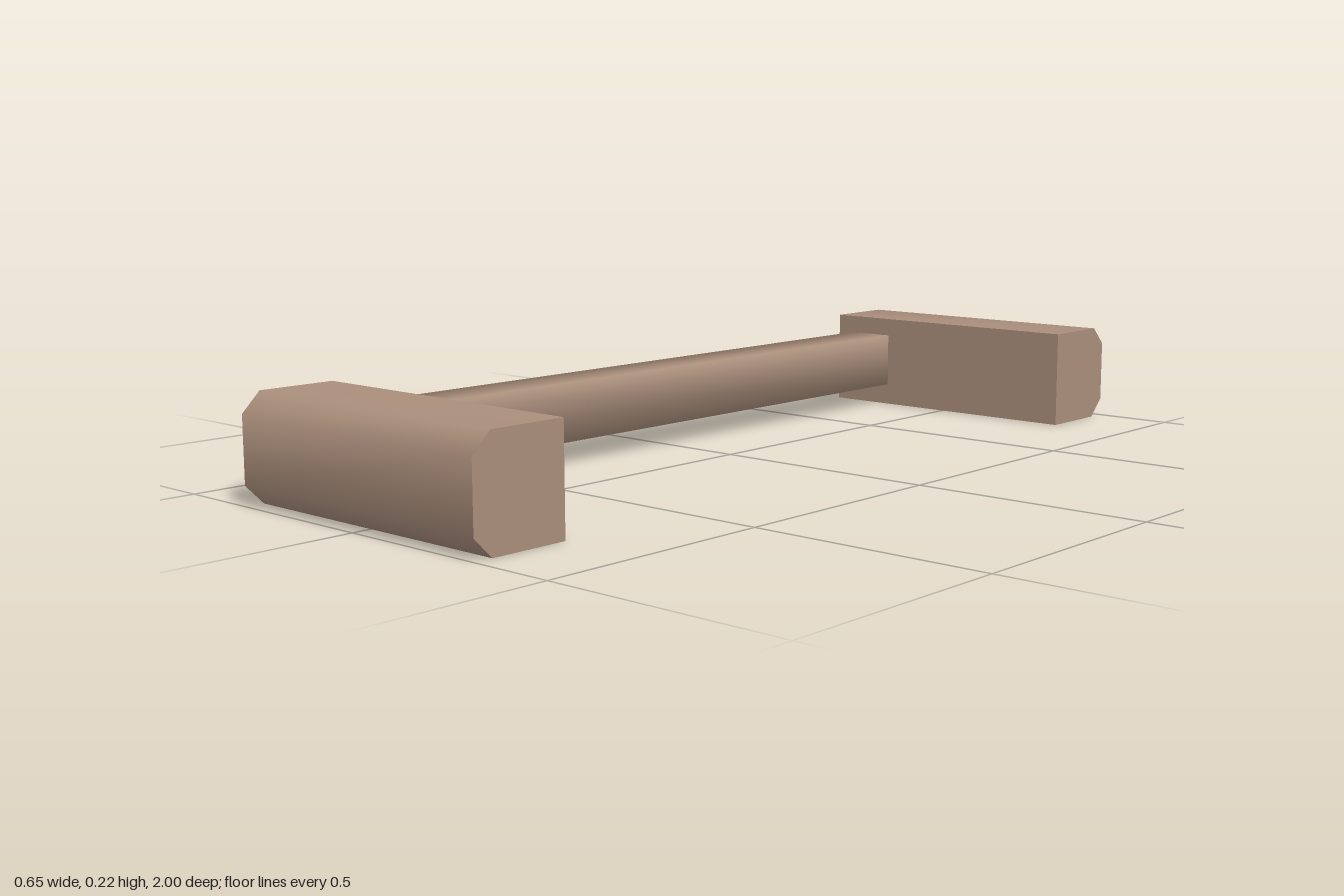
import * as THREE from 'three';
import { toCreasedNormals } from 'three/addons/utils/BufferGeometryUtils.js';

const HEIGHT = 0.216, WIDTH = 0.65, INNER = 0.795, OUTER = 1, BEVEL = 0.04;

// Block profile (depth, height) with its outer corners cut, extruded across x
function blockGeometry() {
  const shape = new THREE.Shape([
    [INNER, 0], [OUTER - BEVEL, 0], [OUTER, BEVEL],
    [OUTER, HEIGHT - BEVEL], [OUTER - BEVEL, HEIGHT], [INNER, HEIGHT],
  ].map(([d, y]) => new THREE.Vector2(d, y)));
  const geometry = new THREE.ExtrudeGeometry(shape, { depth: WIDTH, bevelEnabled: false });
  geometry.translate(0, 0, -WIDTH / 2).rotateY(-Math.PI / 2);
  return toCreasedNormals(geometry, 1);
}

export function createModel() {
  const group = new THREE.Group();
  const tan = new THREE.MeshStandardMaterial({ color: 0xaa8e7b });
  tan.name = 'tan';

  // Matching blocks at the two ends
  const geometry = blockGeometry();
  for (const [name, turn] of [['frontBlock', 0], ['backBlock', Math.PI]]) {
    const block = new THREE.Mesh(geometry, tan);
    block.name = name;
    block.rotation.y = turn;
    group.add(block);
  }

  // Four-sided, smooth-shaded bar joining the blocks
  const barGeometry = new THREE.CylinderGeometry(Math.SQRT1_2, Math.SQRT1_2, INNER * 2, 4, 1, true, Math.PI / 4);
  barGeometry.rotateX(Math.PI / 2).scale(0.112, 0.125, 1);
  const bar = new THREE.Mesh(barGeometry, tan);
  bar.name = 'connectingBar';
  bar.position.set(-0.225, 0.112, 0);
  group.add(bar);

  return group;
}
